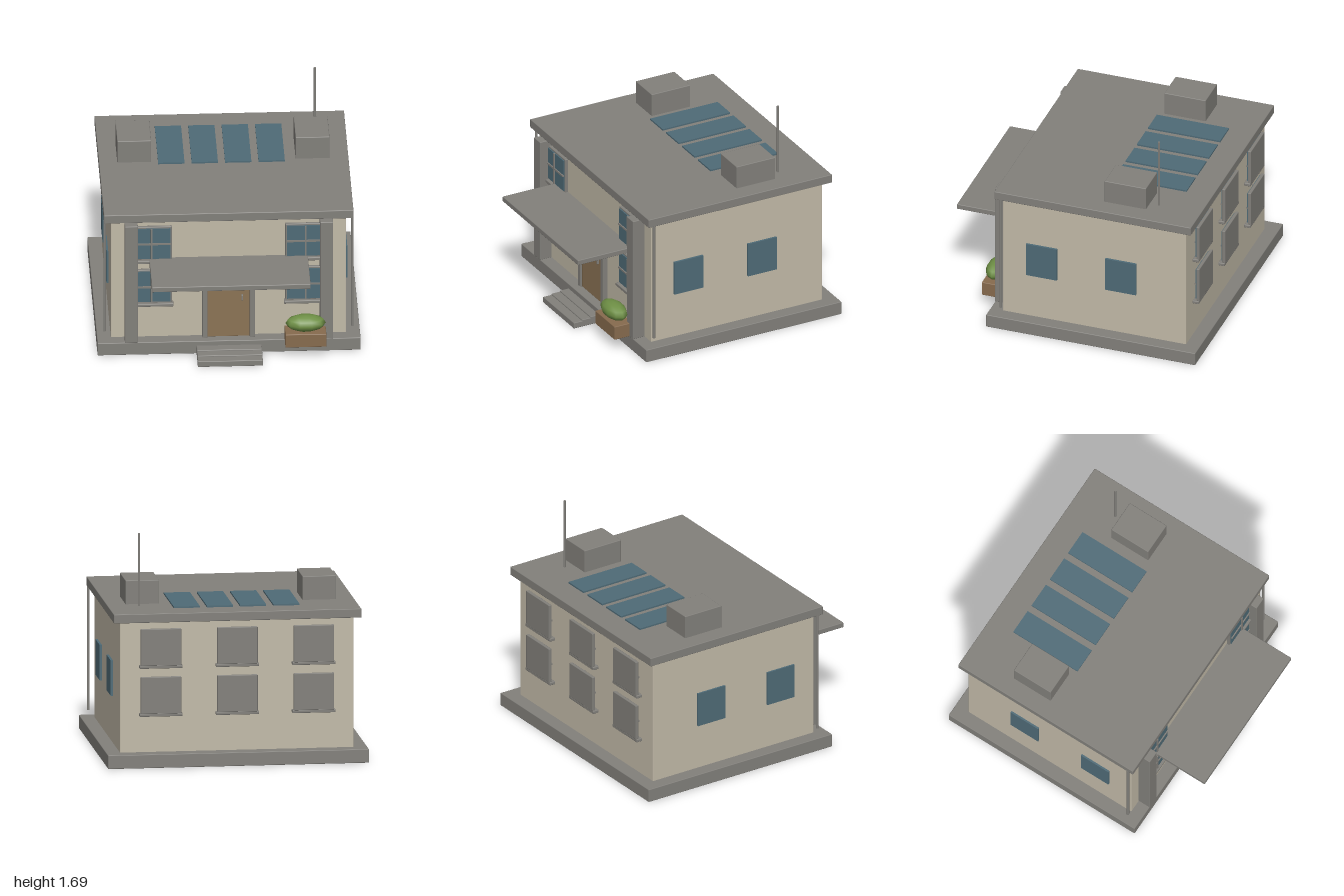
import * as THREE from 'three';
import { RoundedBoxGeometry } from 'three/addons/geometries/RoundedBoxGeometry.js';

const material = (name, color) => {
  const m = new THREE.MeshStandardMaterial({ color });
  m.name = name;
  return m;
};

export function createModel() {
  const house = new THREE.Group();
  house.name = 'house';
  const stone = material('grey stone', 0x82807b);
  const plaster = material('beige plaster', 0xc2baa8);
  const glass = material('blue glass', 0x4f6b77);
  const wood = material('door wood', 0x8b7355);
  const planterWood = material('planter wood', 0x876b4e);
  const leaf = material('leaf green', 0x6e8f45);

  const add = (name, geometry, mat, parent = house) => {
    const mesh = new THREE.Mesh(geometry, mat);
    mesh.name = name;
    parent.add(mesh);
    return mesh;
  };
  // Boxes are given by their extents; bevel softens the edges
  const box = (name, mat, [x0, x1], [y0, y1], [z0, z1], parent = house, bevel = 0.005) => {
    const w = x1 - x0, h = y1 - y0, d = z1 - z0;
    const geo = bevel
      ? new RoundedBoxGeometry(w, h, d, 1, Math.min(bevel, Math.min(w, h, d) * 0.3))
      : new THREE.BoxGeometry(w, h, d);
    const mesh = add(name, geo, mat, parent);
    mesh.position.set((x0 + x1) / 2, (y0 + y1) / 2, (z0 + z1) / 2);
    return mesh;
  };
  const rod = (name, x, z, y0, y1, r) => {
    const mesh = add(name, new THREE.CylinderGeometry(r, r, y1 - y0, 8), stone);
    mesh.position.set(x, (y0 + y1) / 2, z);
  };

  // Main body
  box('foundation', stone, [-0.97, 0.97], [0, 0.102], [-1, 0.635]);
  box('walls', plaster, [-0.868, 0.868], [0.095, 1.085], [-0.893, 0.54]);
  box('roof', stone, [-0.92, 0.92], [1.08, 1.147], [-0.948, 0.588]);

  // Entrance steps
  for (let i = 0; i < 3; i++) {
    box('step', stone, [-0.24, 0.24], [i * 0.008, 0.047 + i * 0.009], [0.6, 0.847 - i * 0.07]);
  }

  // Door with surround and handle
  box('doorPanel', wood, [-0.157, 0.157], [0.1, 0.687], [0.53, 0.565]);
  for (const s of [-1, 1]) {
    box('doorJamb', stone, [s * 0.175 - 0.02, s * 0.175 + 0.02], [0.1, 0.715], [0.53, 0.58]);
  }
  box('doorLintel', stone, [-0.195, 0.195], [0.685, 0.717], [0.53, 0.58]);
  box('doorHandle', stone, [0.093, 0.107], [0.405, 0.452], [0.56, 0.58]);

  // Canopy and pillars
  box('canopy', stone, [-0.585, 0.585], [0.72, 0.76], [0.535, 1]);
  for (const s of [-1, 1]) {
    box('pillar', stone, [s * 0.72 - 0.048, s * 0.72 + 0.048], [0.1, 1.077], [0.53, 0.638]);
    rod('drainpipe', s * 0.913, 0.54, 0.155, 1.085, 0.01);
  }

  // Framed windows, front and back
  const framedWindow = (x, y, z) => {
    const g = new THREE.Group();
    g.name = 'framedWindow';
    g.position.set(x, y, z);
    house.add(g);
    box('windowFrame', stone, [-0.15, 0.15], [-0.138, 0.138], [0, 0.026], g);
    box('windowPane', glass, [-0.137, 0.137], [-0.125, 0.125], [0.02, 0.034], g, 0);
    box('verticalBar', stone, [-0.007, 0.007], [-0.125, 0.125], [0.03, 0.042], g, 0);
    box('horizontalBar', stone, [-0.137, 0.137], [-0.007, 0.007], [0.03, 0.042], g, 0);
    box('windowSill', stone, [-0.16, 0.16], [-0.159, -0.135], [0.002, 0.052], g);
  };
  for (const y of [0.533, 0.893]) {
    for (const x of [-0.568, 0.568]) framedWindow(x, y, 0.538);
    for (const x of [-0.568, 0, 0.568]) framedWindow(x, y, -0.944);
  }

  // Plain panes on the side walls
  for (const z of [0.233, -0.385]) {
    box('sideWindow', glass, [0.868, 0.885], [0.455, 0.721], [z - 0.121, z + 0.121], house, 0);
    box('sideWindow', glass, [-0.892, -0.878], [0.455, 0.721], [z - 0.121, z + 0.121], house, 0);
  }

  // Rooftop: chimneys, antenna, solar panels
  for (const x of [-0.66, 0.655]) {
    box('chimney', stone, [x - 0.125, x + 0.125], [1.14, 1.324], [-0.548, -0.224]);
  }
  rod('antenna', 0.69, -0.618, 1.14, 1.692, 0.009);
  for (let i = 0; i < 4; i++) {
    const x = -0.388 + i * 0.2465;
    box('solarPanel', glass, [x - 0.097, x + 0.097], [1.147, 1.159], [-0.748, -0.184], house, 0);
  }

  // Planter and shrub
  box('planter', planterWood, [0.41, 0.712], [0.1, 0.208], [0.61, 0.761]);
  const shrub = add('shrub', new THREE.SphereGeometry(1, 10, 6), leaf);
  shrub.scale.set(0.149, 0.064, 0.082);
  shrub.position.set(0.562, 0.267, 0.686);

  return house;
}
